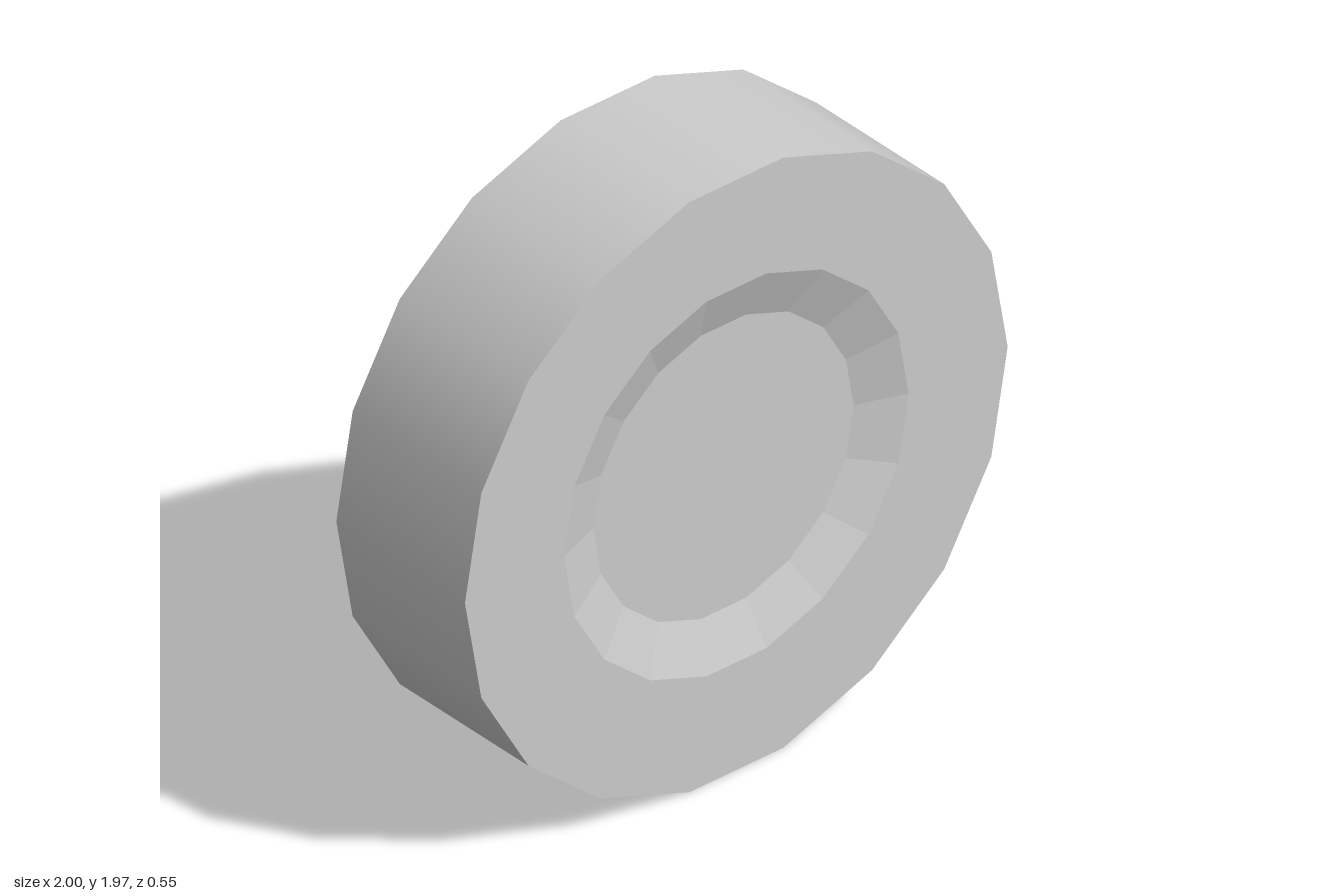
import * as THREE from 'three';

const SIDES = 18;
const RADIUS = 1;
const HALF_WIDTH = 0.275;

export function createModel() {
  const wheel = new THREE.Group();
  wheel.name = 'wheel';

  const smooth = new THREE.MeshStandardMaterial({ color: 0xcccccc });
  const faceted = new THREE.MeshStandardMaterial({ color: 0xcccccc, flatShading: true });

  // Smooth-shaded tread band, with its axle along z
  const treadGeometry = new THREE.CylinderGeometry(RADIUS, RADIUS, HALF_WIDTH * 2, SIDES, 1, true, Math.PI / 2);
  treadGeometry.rotateX(Math.PI / 2);
  const tread = new THREE.Mesh(treadGeometry, smooth);
  tread.name = 'tread';
  wheel.add(tread);

  // Faceted sidewall: flat ring, sloped bevel and sunken hub disc
  const profile = [
    [RADIUS, HALF_WIDTH],
    [0.635, HALF_WIDTH],
    [0.48, 0.22],
    [0, 0.22],
  ].map(([r, h]) => new THREE.Vector2(r, h));
  const sideGeometry = new THREE.LatheGeometry(profile, SIDES, Math.PI / 2);
  sideGeometry.rotateX(Math.PI / 2);

  // The same sidewall closes the front and the back
  for (const [name, turn] of [['frontSidewall', 0], ['backSidewall', Math.PI]]) {
    const side = new THREE.Mesh(sideGeometry, faceted);
    side.name = name;
    side.rotation.y = turn;
    wheel.add(side);
  }

  // Rest on the flat bottom side of the polygon
  wheel.position.y = RADIUS * Math.cos(Math.PI / SIDES);

  const model = new THREE.Group();
  model.name = 'wheelModel';
  model.add(wheel);
  return model;
}
